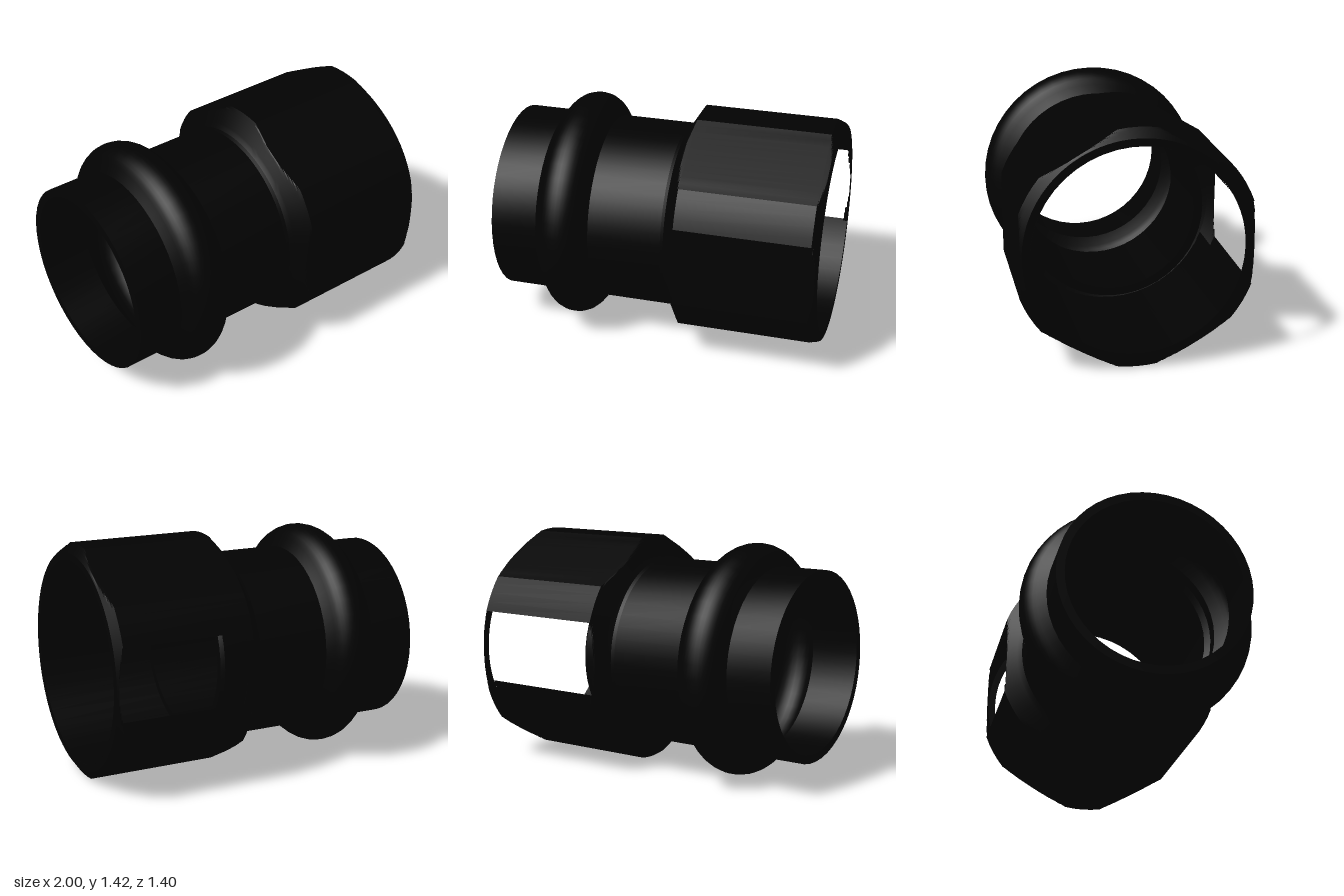
import * as THREE from 'three';
import { toCreasedNormals } from 'three/addons/utils/BufferGeometryUtils.js';

const AXIS_Y = 0.71;      // height of the pipe axis, which runs along x
const APOTHEM = 0.665;    // centre to hexagon flat
const SIXTH = Math.PI / 3;

// Skin a profile of [x, radius] stations around the x axis.
// Angle 0 points to +z, PI / 2 points up. Rising x faces outward, falling x inward.
function sweep(profile, angles, radiusAt = (r) => r, skip = () => false, crease = 0.4) {
  const positions = [];
  const point = ([x, r], t) => {
    const q = radiusAt(r, t);
    return [x, AXIS_Y + q * Math.sin(t), q * Math.cos(t)];
  };
  for (let i = 0; i < profile.length - 1; i++) {
    for (let j = 0; j < angles.length - 1; j++) {
      const p = profile[i], n = profile[i + 1], t0 = angles[j], t1 = angles[j + 1];
      if (skip(Math.min(p[1], n[1]), (t0 + t1) / 2)) continue;
      const a = point(p, t0), b = point(n, t0), c = point(n, t1), d = point(p, t1);
      positions.push(...a, ...b, ...c, ...a, ...c, ...d);
    }
  }
  const geometry = new THREE.BufferGeometry();
  geometry.setAttribute('position', new THREE.Float32BufferAttribute(positions, 3));
  return toCreasedNormals(geometry, crease);
}

// Evenly spaced numbers
function steps(from, to, count) {
  return Array.from({ length: count + 1 }, (_, i) => from + ((to - from) * i) / count);
}

// Straight taper, as profile stations
function taper([x0, r0], [x1, r1], count) {
  return steps(0, 1, count).map((k) => [x0 + (x1 - x0) * k, r0 + (r1 - r0) * k]);
}

// Half-round top of the bead, as profile stations
function dome(cx, baseR, rx, ry, from, to, count) {
  return steps(from, to, count).map((t) => [cx - rx * Math.cos(t), baseR + ry * Math.sin(t)]);
}

export function createModel() {
  const group = new THREE.Group();
  const black = new THREE.MeshStandardMaterial({ color: 0x020202, side: THREE.DoubleSide });
  black.name = 'black';
  const add = (name, geometry) => {
    const mesh = new THREE.Mesh(geometry, black);
    mesh.name = name;
    group.add(mesh);
  };
  const circle = steps(0, Math.PI * 2, 48);

  // Round pipe with its raised bead
  add('pipeOuter', sweep([
    [-1, 0.52], [-1, 0.57], [-0.72, 0.57],
    ...dome(-0.557, 0.57, 0.14, 0.13, 0.42, Math.PI - 0.42, 14),
    [-0.392, 0.57], [0.06, 0.57],
  ], circle));

  // Inside of the pipe: socket floor, protruding nozzle lip, stop, groove behind the bead
  add('pipeInner', sweep([
    [0.16, 0.61], [0.13, 0.55], [0.28, 0.55], [0.3, 0.53], [0.3, 0.49],
    [-0.3, 0.49], [-0.33, 0.52], [-0.41, 0.52],
    ...dome(-0.557, 0.53, 0.13, 0.12, Math.PI - 0.42, 0.42, 10),
    [-0.7, 0.52], [-1, 0.52],
  ], circle));

  // Hexagonal socket: a hexagon trimmed by a turned profile
  const half = Math.acos(APOTHEM / 0.71);
  const hexAngles = [];
  for (let k = 0; k < 6; k++) {
    const mid = k * SIXTH;
    hexAngles.push(...steps(mid - half, mid + half, 12).slice(0, -1));
    hexAngles.push(...steps(mid + half, mid + SIXTH - half, 4).slice(0, -1));
  }
  hexAngles.push(Math.PI * 2 - half);

  const flatRadius = (t) => APOTHEM / Math.cos(t - Math.round(t / SIXTH) * SIXTH);
  const trimmed = (r, t) => Math.min(r, flatRadius(t));
  // The flat facing the back is left open
  const openFlat = (r, t) => Math.abs(t - Math.PI) < half && r > flatRadius(t);
  add('hexSocket', sweep([
    [0.055, 0.57], [0.075, 0.577],
    ...taper([0.09, 0.595], [0.162, 0.71], 12),
    ...taper([0.962, 0.71], [1, 0.655], 8),
    [1, 0.61],
  ], hexAngles, trimmed, openFlat, 0.25));

  // Socket bore, with the matching gap at the back
  add('socketBore', sweep([[1, 0.61], [0.16, 0.61]],
    steps(-Math.PI + half, Math.PI - 0.57, 40)));

  return group;
}
